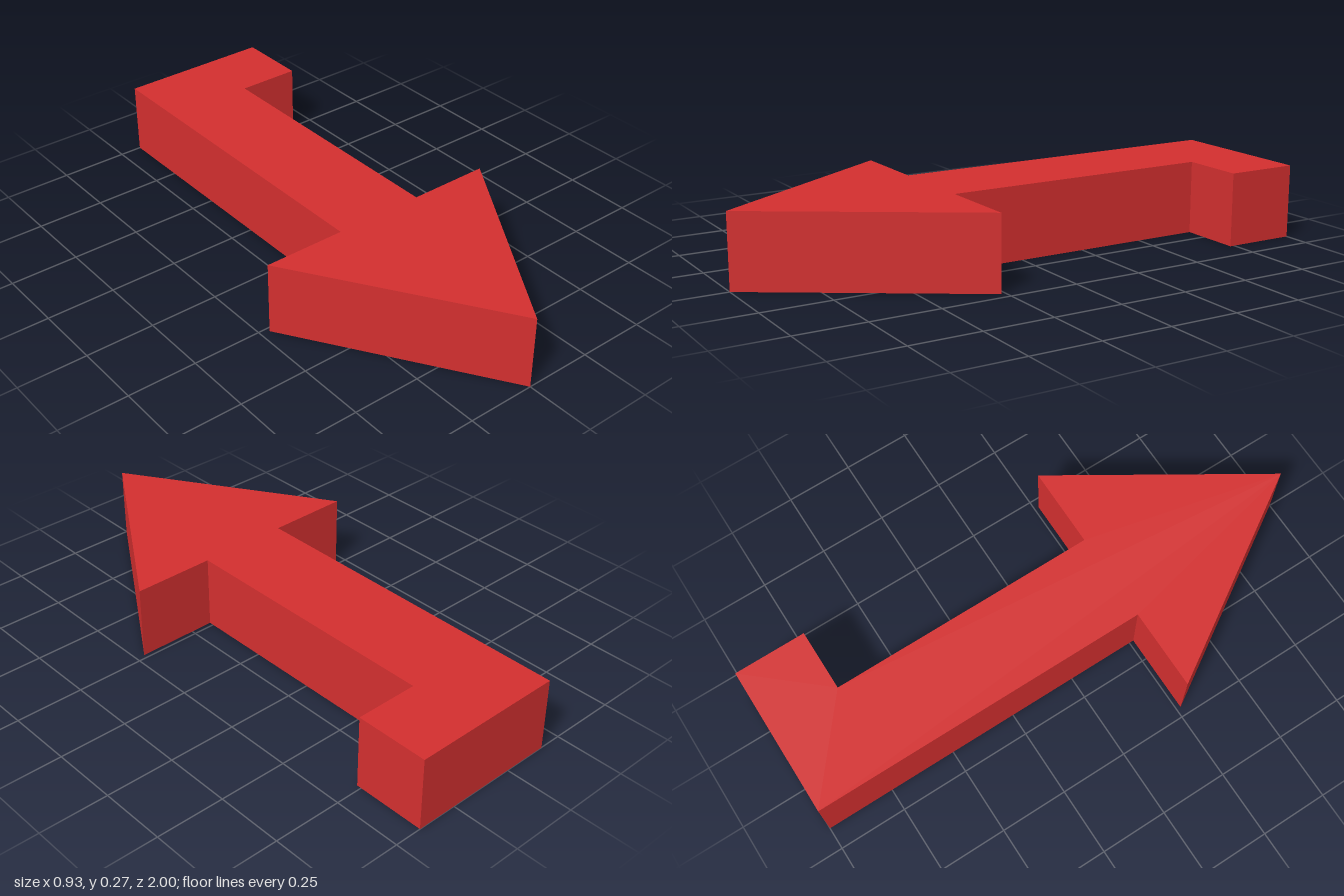
import * as THREE from 'three';

export function createModel() {
  const group = new THREE.Group();
  group.name = 'hookedArrow';

  const red = new THREE.MeshStandardMaterial({ color: 0xd32f2f });
  red.name = 'red';

  // Arrow outline as [x, z], from the tip round the head, shaft and hooked tail
  const outline = [
    [0, 1], [0.467, 0.267], [0.167, 0.267], [0.167, -0.733], [0.4, -0.733],
    [0.4, -1], [-0.167, -1], [-0.167, 0.267], [-0.467, 0.267],
  ];
  const shape = new THREE.Shape(outline.map(([x, z]) => new THREE.Vector2(x, -z)));

  // Raise the outline into a slab lying flat on the ground
  const geometry = new THREE.ExtrudeGeometry(shape, { depth: 0.267, bevelEnabled: false });
  geometry.rotateX(-Math.PI / 2);

  const arrow = new THREE.Mesh(geometry, red);
  arrow.name = 'arrow';
  group.add(arrow);
  return group;
}
